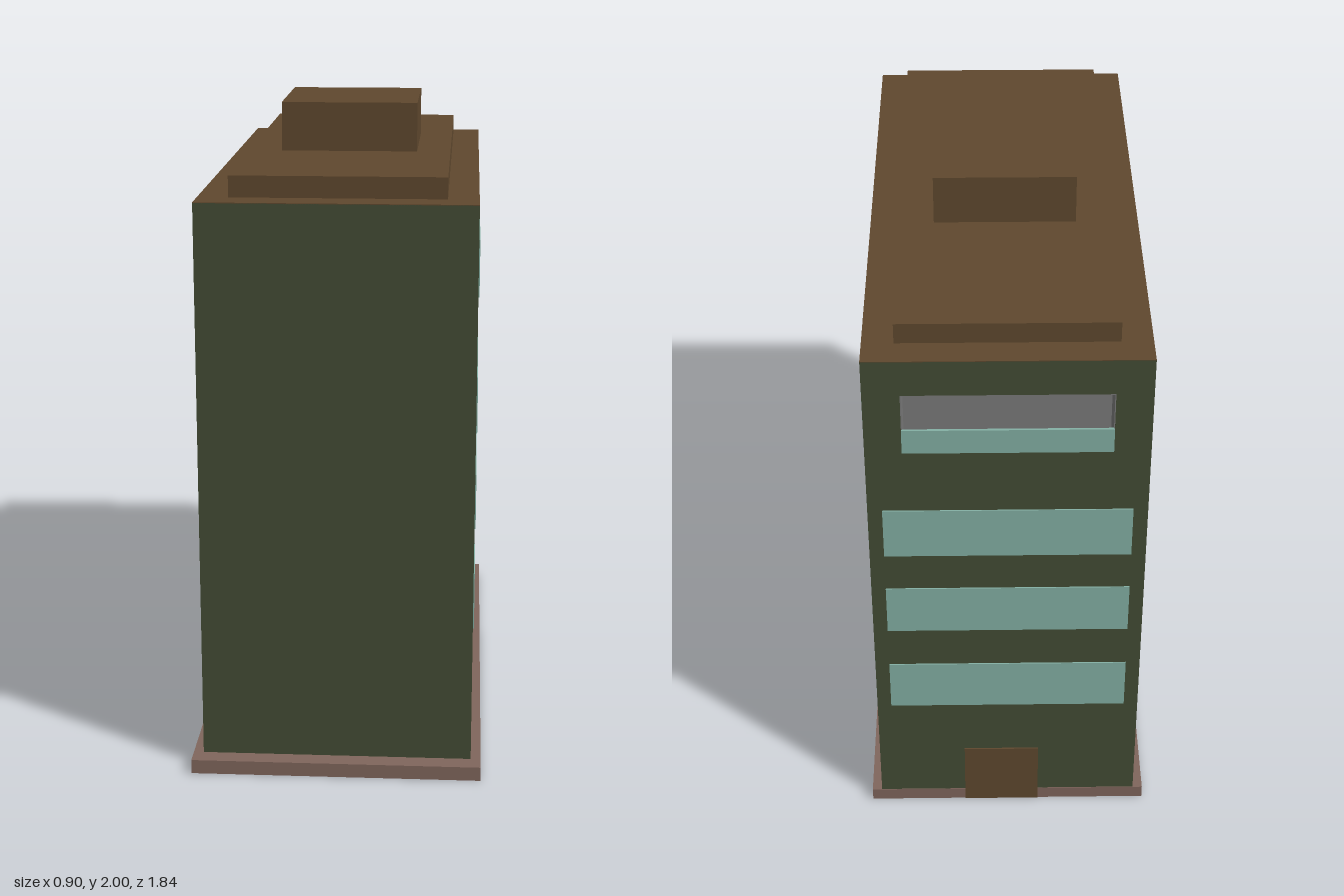
import * as THREE from 'three';

const paint = (name, color) => {
  const m = new THREE.MeshStandardMaterial({ color });
  m.name = name;
  return m;
};

export function createModel() {
  const wall = paint('green wall', 0x434c35);
  const glass = paint('teal glass', 0x84b0a4);
  const brown = paint('brown', 0x5f482e);
  const stone = paint('plinth stone', 0x80665c);
  const grey = paint('recess grey', 0x7a7a7a);

  const model = new THREE.Group();
  model.name = 'officeBlock';

  // box given by its limits on each axis
  const box = (name, mat, [x0, x1], [y0, y1], [z0, z1]) => {
    const mesh = new THREE.Mesh(new THREE.BoxGeometry(x1 - x0, y1 - y0, z1 - z0), mat);
    mesh.position.set((x0 + x1) / 2, (y0 + y1) / 2, (z0 + z1) / 2);
    mesh.name = name;
    model.add(mesh);
    return mesh;
  };

  const W = 0.417, FRONT = 0.86, BACK = -0.916, TOP = 1.778;
  const depth = 0.1, inner = BACK + depth;

  // plinth, with the body reaching just through its underside
  box('plinth', stone, [-0.448, 0.448], [0.001, 0.045], [-0.918, 0.92]);
  box('body', wall, [-W, W], [0, TOP], [inner, FRONT]);

  // back part of the body with an opening for the loggia
  const R = 0.308, r0 = 1.465, r1 = 1.662;
  const outline = new THREE.Shape([[-W, 0], [W, 0], [W, TOP], [-W, TOP]].map(p => new THREE.Vector2(...p)));
  outline.holes.push(new THREE.Path([[-R, r0], [-R, r1], [R, r1], [R, r0]].map(p => new THREE.Vector2(...p))));
  const backWall = new THREE.Mesh(new THREE.ExtrudeGeometry(outline, { depth, bevelEnabled: false }), wall);
  backWall.position.z = BACK;
  backWall.name = 'backWall';
  model.add(backWall);

  // grey lining of the loggia
  const t = 0.003, zs = [BACK + 0.001, inner + t];
  box('loggiaRear', grey, [-R, R], [r0, r1], [inner - t, inner + t]);
  box('loggiaFloor', grey, [-R, R], [r0 - t, r0 + t], zs);
  box('loggiaCeiling', grey, [-R, R], [r1 - t, r1 + t], zs);
  for (const s of [-1, 1]) box('loggiaSide', grey, [s * R - t, s * R + t], [r0, r1], zs);
  box('loggiaRailing', glass, [-R, R], [1.458, 1.54], [BACK - 0.004, BACK + 0.004]);

  // window bands: four on each side, three on the back
  const rows = [[0.437, 0.617], [0.762, 0.935], [1.067, 1.242], [1.486, 1.66]];
  rows.forEach((ys, i) => {
    for (const s of [-1, 1])
      box('sideWindow', glass, [s * W - 0.004, s * W + 0.004], ys, [-0.867, 0.756]);
    if (i < 3) box('backWindow', glass, [-0.373, 0.373], ys, [BACK - 0.004, BACK + 0.004]);
  });

  // door
  box('door', brown, [-0.1, 0.14], [0.002, 0.235], [BACK - 0.005, BACK + 0.003]);

  // roof
  box('roofDeck', brown, [-W, W], [TOP - 0.001, TOP + 0.002], [BACK, FRONT]);
  box('roofTier', brown, [-0.324, 0.324], [TOP, 1.845], [-0.824, 0.762]);
  box('roofHouse', brown, [-0.217, 0.217], [1.84, 2], [-0.268, 0.202]);

  return model;
}
